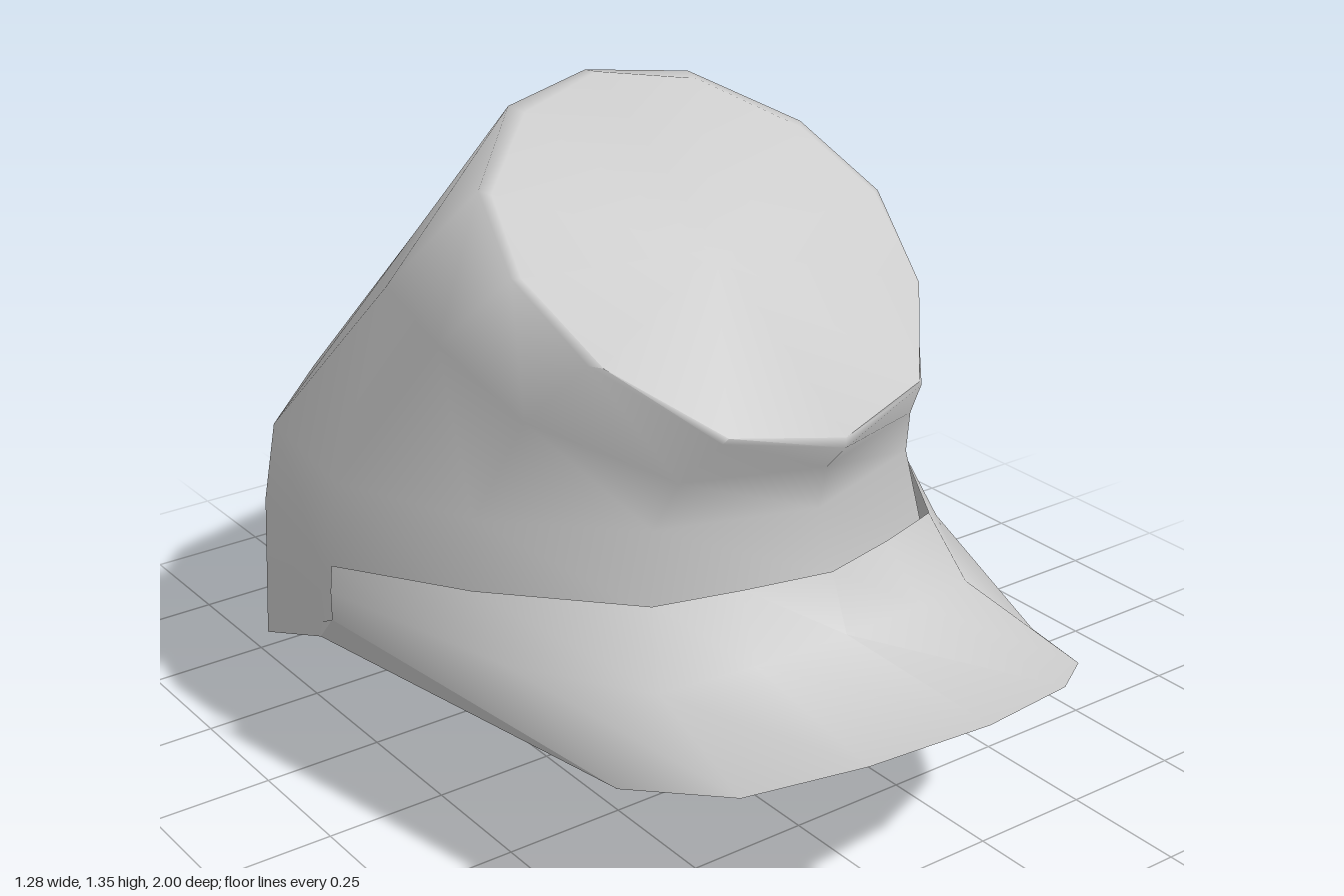
import * as THREE from 'three';
import { toCreasedNormals } from 'three/addons/utils/BufferGeometryUtils.js';

// Half outline (ending on the centre line) mirrored to the other side.
const mirror = (half) => {
  const other = half.map(([x, y, z]) => [-x, y, z]).reverse();
  return half.concat(half[half.length - 1][0] === 0 ? other.slice(1) : other);
};

// Skin stretched over successive cross-sections of equal point count.
function skin(rows, crease) {
  const pos = [];
  const tri = (...pts) => {
    const [a, b, c] = pts.map((p) => new THREE.Vector3(...p));
    if (b.clone().sub(a).cross(c.clone().sub(a)).length() > 1e-6) pos.push(...pts.flat());
  };
  for (let i = 0; i + 1 < rows.length; i++) {
    const lo = rows[i], up = rows[i + 1];
    for (let j = 0; j + 1 < lo.length; j++) {
      tri(lo[j], up[j + 1], lo[j + 1]);
      tri(lo[j], up[j], up[j + 1]);
    }
  }
  const g = new THREE.BufferGeometry();
  g.setAttribute('position', new THREE.Float32BufferAttribute(pos, 3));
  return toCreasedNormals(g, crease);
}

export function createModel() {
  const group = new THREE.Group();
  const material = new THREE.MeshStandardMaterial({ color: 0xcccccc, side: THREE.DoubleSide });
  const add = (name, geometry) => {
    const mesh = new THREE.Mesh(geometry, material);
    mesh.name = name;
    group.add(mesh);
  };

  // Crown: twelve-sided rings from the lower rim to the tilted top, back to front
  const rim = [[0, 0, -1], [0.31, 0.03, -0.9], [0.545, 0.11, -0.62], [0.63, 0.3, -0.22],
    [0.53, 0.315, 0.18], [0.32, 0.315, 0.46], [0, 0.315, 0.56]];
  const rings = [
    rim,
    [[0, 0.42, -0.965], [0.31, 0.42, -0.87], [0.54, 0.43, -0.6], [0.62, 0.45, -0.22],
      [0.52, 0.5, 0.17], [0.32, 0.54, 0.46], [0, 0.57, 0.56]],
    [[0, 0.6, -0.9], [0.3, 0.6, -0.81], [0.53, 0.61, -0.56], [0.59, 0.63, -0.2],
      [0.5, 0.66, 0.15], [0.3, 0.69, 0.43], [0, 0.69, 0.53]],
    [[0, 1.0, -0.52], [0.25, 0.99, -0.45], [0.42, 0.97, -0.27], [0.46, 0.94, -0.02],
      [0.43, 0.86, 0.22], [0.27, 0.79, 0.47], [0, 0.78, 0.55]],
    [[0, 1.345, -0.2], [0.21, 1.32, -0.15], [0.375, 1.225, 0], [0.425, 1.12, 0.18],
      [0.38, 1.0, 0.35], [0.23, 0.88, 0.54], [0, 0.835, 0.6]],
    [[0, 1.35, -0.16], [0.2, 1.315, -0.11], [0.36, 1.22, 0.02], [0.41, 1.12, 0.19],
      [0.365, 1.0, 0.375], [0.22, 0.89, 0.545], [0, 0.855, 0.6]],
    Array(7).fill([0, 1.1, 0.22]),
  ];
  add('crown', skin(rings.map(mirror), 1.2));

  // Brim: outer edge, fold and band line, from the side end to the centre
  const edge = [[0.64, 0.37, -0.15], [0.5, 0.315, 0.6], [0.4, 0.37, 0.82],
    [0.23, 0.435, 0.95], [0, 0.46, 1]];
  const fold = [[0.64, 0.43, -0.15], [0.53, 0.43, 0.28], [0.37, 0.435, 0.54],
    [0.2, 0.46, 0.6], [0, 0.47, 0.62]];
  const band = [[0.635, 0.485, -0.15], [0.525, 0.535, 0.18], [0.33, 0.565, 0.47],
    [0.17, 0.575, 0.53], [0, 0.58, 0.575]];
  add('brim', skin([edge, fold, band].map(mirror), 1.2));

  // Underside: strips across the rim and on under the brim
  const side = rim.slice(0, 3).map((p) => [p, p]);
  side.push([edge[0], rim[3]]);
  edge.slice(1).forEach((p) => side.push([p, p]));
  const across = ([outer, inner]) =>
    [outer, inner, [-inner[0], inner[1], inner[2]], [-outer[0], outer[1], outer[2]]];
  add('underside', skin(side.map(across), 0.3));

  return group;
}
